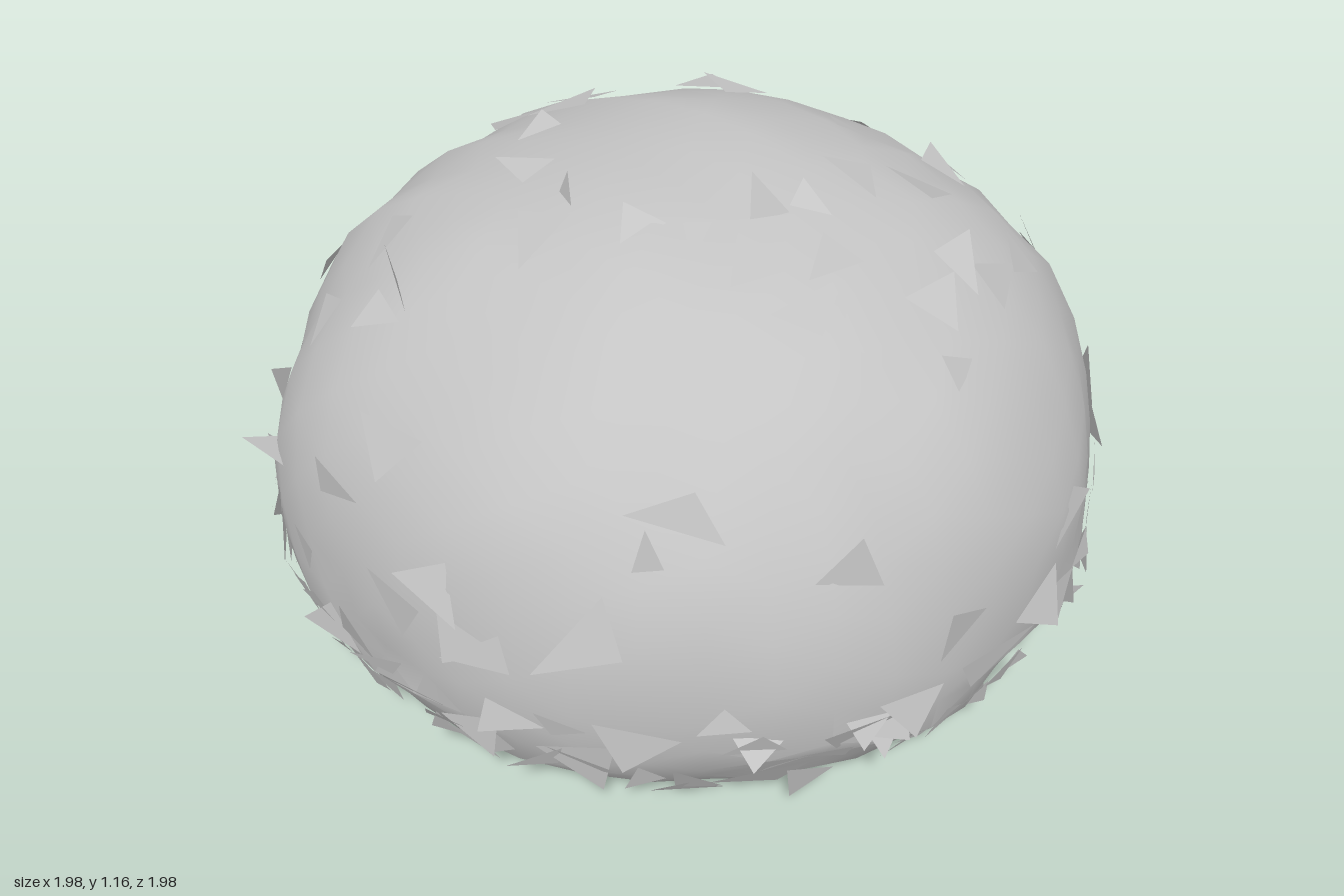
import * as THREE from 'three';
import { toCreasedNormals } from 'three/addons/utils/BufferGeometryUtils.js';

// Small seeded generator
function seeded(seed) {
  return () => {
    seed = (seed * 1664525 + 1013904223) % 4294967296;
    return seed / 4294967296;
  };
}

const MID = 0.35; // height of the widest ring
const groundHeight = (x, z) => Math.max(0, 0.025 + 0.022 * x + 0.014 * z);

// Point on the squat dome in direction d, pushed out by lift
function domePoint(d, lift = 0) {
  const flat = Math.hypot(d.x, d.z);
  const tall = d.y > 0 ? 0.77 : 0.55;
  const k = 1 / Math.pow(Math.pow(flat, 2.15) + Math.pow(Math.abs(d.y), 2.15), 1 / 2.15);
  const x = d.x * k * (0.945 + lift) + 0.02;
  const z = d.z * k * (0.935 + lift) + 0.015;
  const y = MID + d.y * k * (tall + lift);
  return new THREE.Vector3(x, Math.max(y, groundHeight(x, z)), z);
}

// Repeatable bumpiness, the same for corners that share a position
function bump(d) {
  return 0.011 * Math.sin(7 * d.x + 3 * d.y + 1) * Math.cos(6 * d.z - 2 * d.y)
    + 0.009 * Math.sin(23 * d.x + 17 * d.y + 29 * d.z);
}

function buildDome() {
  const geo = new THREE.IcosahedronGeometry(1, 7);
  const pos = geo.attributes.position;
  const d = new THREE.Vector3();
  for (let i = 0; i < pos.count; i++) {
    d.fromBufferAttribute(pos, i).normalize();
    const p = domePoint(d, bump(d));
    pos.setXYZ(i, p.x, p.y, p.z);
  }
  return toCreasedNormals(geo, 0.55);
}

// Ragged triangular flakes: two corners lie on the dome, the tip sticks out
function buildFlakes() {
  const rnd = seeded(41);
  const pts = [];
  const addFlake = (angle, up, size, lift) => {
    const turn = rnd() * Math.PI * 2;
    for (let c = 0; c < 3; c++) {
      const a = turn + c * 2.1 + (rnd() - 0.5) * 0.9;
      const s = size * (0.6 + rnd() * 0.6);
      const el = up + Math.sin(a) * s;
      const az = angle + Math.cos(a) * s / Math.max(0.3, Math.cos(up));
      const d = new THREE.Vector3(
        Math.cos(el) * Math.cos(az), Math.sin(el), Math.cos(el) * Math.sin(az));
      const p = domePoint(d, c === 0 ? lift : 0.008);
      pts.push(p.x, p.y, p.z);
    }
  };
  // dense skirt around the foot
  const skirt = 130;
  for (let i = 0; i < skirt; i++) {
    addFlake((i + rnd()) / skirt * Math.PI * 2, -0.45 + rnd() * 0.5,
      0.07 + rnd() * 0.06, 0.015 + rnd() * 0.035);
  }
  // sparse flakes over the crown
  for (let i = 0; i < 65; i++) {
    addFlake(i * 2.39996, Math.asin(0.05 + 0.9 * rnd()),
      0.06 + rnd() * 0.06, 0.015 + rnd() * 0.03);
  }
  // tall loose spikes
  const spikes = [
    [0.08, 1.17, 0.25], [-0.65, 1.05, 0.1], [-0.26, 1.14, 0.08], [-0.99, 0.58, 0.02],
    [0.99, 0.38, 0.05], [0.97, 0.55, -0.1], [0.06, 0.53, -0.98], [0.13, 0.2, 0.97],
    [-0.15, 0.25, 0.97], [0.28, 0.6, -0.95],
  ];
  for (const [x, y, z] of spikes) {
    const d = new THREE.Vector3(x, y - MID, z).normalize();
    const side = new THREE.Vector3(-d.z, 0.25, d.x).normalize().multiplyScalar(0.06);
    const a = domePoint(d.clone().add(side).normalize(), -0.01);
    const b = domePoint(d.clone().sub(side).normalize(), -0.01);
    pts.push(a.x, a.y, a.z, x, y, z, b.x, b.y, b.z);
  }
  const geo = new THREE.BufferGeometry();
  geo.setAttribute('position', new THREE.Float32BufferAttribute(pts, 3));
  geo.computeVertexNormals();
  return geo;
}

export function createModel() {
  const grey = new THREE.MeshStandardMaterial({ color: 0xc4c4c4, side: THREE.DoubleSide });
  grey.name = 'pale grey';
  const group = new THREE.Group();
  group.name = 'roughMound';
  for (const [name, geo] of [['dome', buildDome()], ['flakes', buildFlakes()]]) {
    const mesh = new THREE.Mesh(geo, grey);
    mesh.name = name;
    group.add(mesh);
  }
  return group;
}
